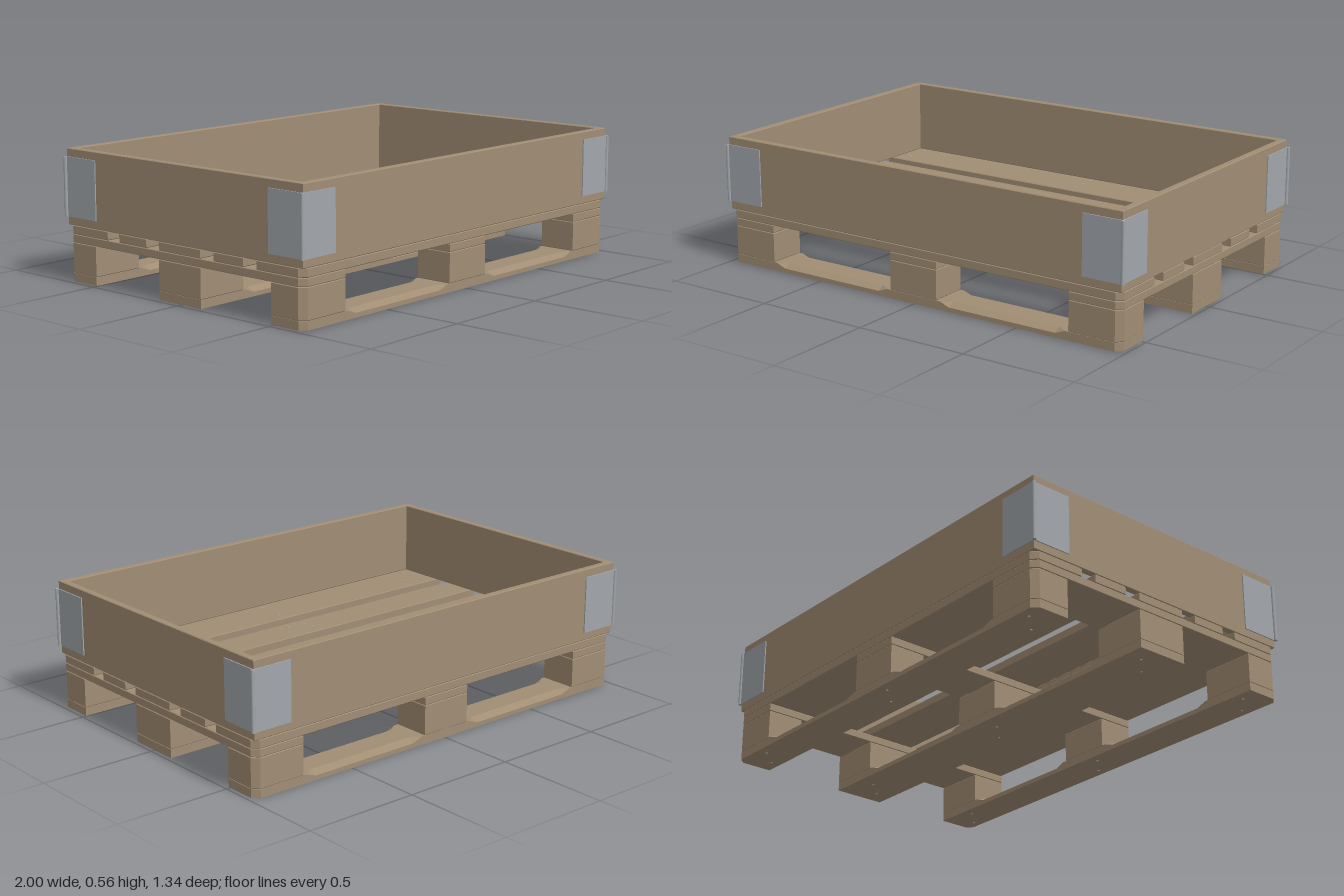
import * as THREE from 'three';

const X = 0.985, Z = 0.66;      // half length and half depth
const CUT = 0.026;              // cut on the outer pallet corners
const BASE = 0.003;             // nail heads lift the boards slightly
const Y = { bottom: 0.039, block: 0.168, stringer: 0.203, deck: 0.24, collar: 0.56 };

// Board or block with softened edges; pallet corners are cut at 45 degrees.
function slabGeometry(x0, x1, y0, y1, z0, z1, cut = 0) {
  const pts = [];
  const corners = [[x0, z0], [x1, z0], [x1, z1], [x0, z1]];
  corners.forEach(([x, z], i) => {
    const outer = Math.abs(x) > X - 0.001 && Math.abs(z) > Z - 0.001;
    if (!cut || !outer) { pts.push(new THREE.Vector2(x, -z)); return; }
    const alongX = new THREE.Vector2(x - Math.sign(x) * cut, -z);
    const alongZ = new THREE.Vector2(x, -(z - Math.sign(z) * cut));
    pts.push(...(i % 2 ? [alongX, alongZ] : [alongZ, alongX]));
  });
  const b = 0.003;
  const geo = new THREE.ExtrudeGeometry(new THREE.Shape(pts), {
    depth: y1 - y0 - 2 * b, bevelThickness: b, bevelSize: b, bevelOffset: -b, bevelSegments: 1,
  });
  return geo.rotateX(-Math.PI / 2).translate(0, y0 + b, 0);
}

// Bottom runner: cross-sections along x, upper edges bevelled between the blocks.
function runnerGeometry(z0, z1) {
  const half = [[0.135, 0], [0.18, 1], [0.69, 1], [0.735, 0], [X - CUT, 0], [X, 0]];
  const sections = [...half.map(([x, k]) => [-x, k]).reverse(), ...half];
  const rings = sections.map(([x, k]) => {
    const inset = Math.abs(x) === X ? CUT : 0;
    const a = z0 < -Z + 0.001 ? z0 + inset : z0;
    const c = z1 > Z - 0.001 ? z1 - inset : z1;
    const drop = 0.017 * k, w = 0.03 * k;
    return [[BASE, a], [Y.bottom - drop, a], [Y.bottom, a + w],
      [Y.bottom, c - w], [Y.bottom - drop, c], [BASE, c]].map(([y, z]) => [x, y, z]);
  });
  const pos = [];
  const tri = (a, b, c) => pos.push(...a, ...b, ...c);
  for (let i = 0; i < rings.length - 1; i++) {
    for (let j = 0; j < 6; j++) {
      const n = (j + 1) % 6, r = rings[i], s = rings[i + 1];
      tri(r[j], r[n], s[n]);
      tri(r[j], s[n], s[j]);
    }
  }
  const first = rings[0], last = rings[rings.length - 1];
  for (let j = 1; j < 5; j++) {
    tri(first[0], first[j + 1], first[j]);
    tri(last[0], last[j], last[j + 1]);
  }
  const geo = new THREE.BufferGeometry();
  geo.setAttribute('position', new THREE.Float32BufferAttribute(pos, 3));
  geo.computeVertexNormals();
  return geo;
}

export function createModel() {
  const model = new THREE.Group();
  model.name = 'palletWithCollar';
  const wood = new THREE.MeshStandardMaterial({ color: 0xa18d74 });
  wood.name = 'wood';
  const steel = new THREE.MeshStandardMaterial({ color: 0xa2a7ac });
  steel.name = 'steel';

  const add = (name, geo, mat, parent = model) => {
    const mesh = new THREE.Mesh(geo, mat);
    mesh.name = name;
    parent.add(mesh);
    return mesh;
  };
  const group = (name) => {
    const g = new THREE.Group();
    g.name = name;
    model.add(g);
    return g;
  };

  const columns = [[-X, -0.75], [-0.117, 0.117], [0.75, X]];
  const rows = [[-Z, -0.495], [-0.117, 0.117], [0.495, Z]];
  const deckRows = [[-Z, -0.42], [-0.35, -0.19], [-0.117, 0.117], [0.19, 0.35], [0.42, Z]];

  // Runners, blocks, cross boards and deck boards
  const pallet = group('pallet');
  for (const [z0, z1] of rows) {
    add('bottomRunner', runnerGeometry(z0, z1), wood, pallet);
    for (const [x0, x1] of columns) {
      add('block', slabGeometry(x0, x1, Y.bottom, Y.block, z0, z1, CUT), wood, pallet);
    }
  }
  for (const [x0, x1] of columns) {
    add('crossBoard', slabGeometry(x0, x1, Y.block, Y.stringer, -Z, Z, CUT), wood, pallet);
  }
  for (const [z0, z1] of deckRows) {
    add('deckBoard', slabGeometry(-X, X, Y.stringer, Y.deck, z0, z1, CUT), wood, pallet);
  }

  // Nail heads over every block column, staggered across each board
  const nails = group('nails');
  const nailGeo = new THREE.CylinderGeometry(0.005, 0.005, 0.006, 8);
  const nail = (x, y, z) => add('nail', nailGeo, steel, nails).position.set(x, y, z);
  for (const cx of [-0.865, 0, 0.865]) {
    for (const [z0, z1] of deckRows) {
      const mid = (z0 + z1) / 2, wide = z1 - z0 > 0.2;
      const offsets = wide ? [-0.06, 0, 0.06] : [-0.03, 0.03];
      offsets.forEach((dz) => {
        for (const side of [-1, 1]) nail(cx + side * 0.042, Y.deck - 0.001, mid + dz + side * 0.004);
      });
    }
    for (const [z0, z1] of rows) {
      for (const side of [-1, 1]) nail(cx + side * 0.04, 0.003, (z0 + z1) / 2 + side * 0.04);
    }
  }

  // Collar: four boards standing on the deck
  const collar = group('collar');
  const t = 0.03;
  for (const s of [-1, 1]) {
    const [za, zb] = [s * Z, s * (Z - t)].sort((a, b) => a - b);
    const [xa, xb] = [s * X, s * (X - t)].sort((a, b) => a - b);
    add(s > 0 ? 'frontCollarBoard' : 'backCollarBoard',
      slabGeometry(-X, X, Y.deck, Y.collar, za, zb), wood, collar);
    add(s > 0 ? 'leftCollarBoard' : 'rightCollarBoard',
      slabGeometry(xa, xb, Y.deck, Y.collar, -Z + t, Z - t), wood, collar);
  }

  // Corner hinges: two thin plates and a pin
  const hinges = group('hinges');
  const h = 0.25, midY = 0.4, plate = 0.005, len = 0.178;
  const longPlate = new THREE.BoxGeometry(len, h, plate);
  const sidePlate = new THREE.BoxGeometry(plate, h, len);
  const pin = new THREE.CylinderGeometry(0.008, 0.008, h, 12);
  for (const sx of [-1, 1]) {
    for (const sz of [-1, 1]) {
      add('hingePlateLong', longPlate, steel, hinges)
        .position.set(sx * (X + 0.004 - len / 2), midY, sz * (Z + plate / 2));
      add('hingePlateSide', sidePlate, steel, hinges)
        .position.set(sx * (X + plate / 2), midY, sz * (Z + 0.004 - len / 2));
      add('hingePin', pin, steel, hinges).position.set(sx * 0.992, midY, sz * 0.664);
    }
  }
  return model;
}
